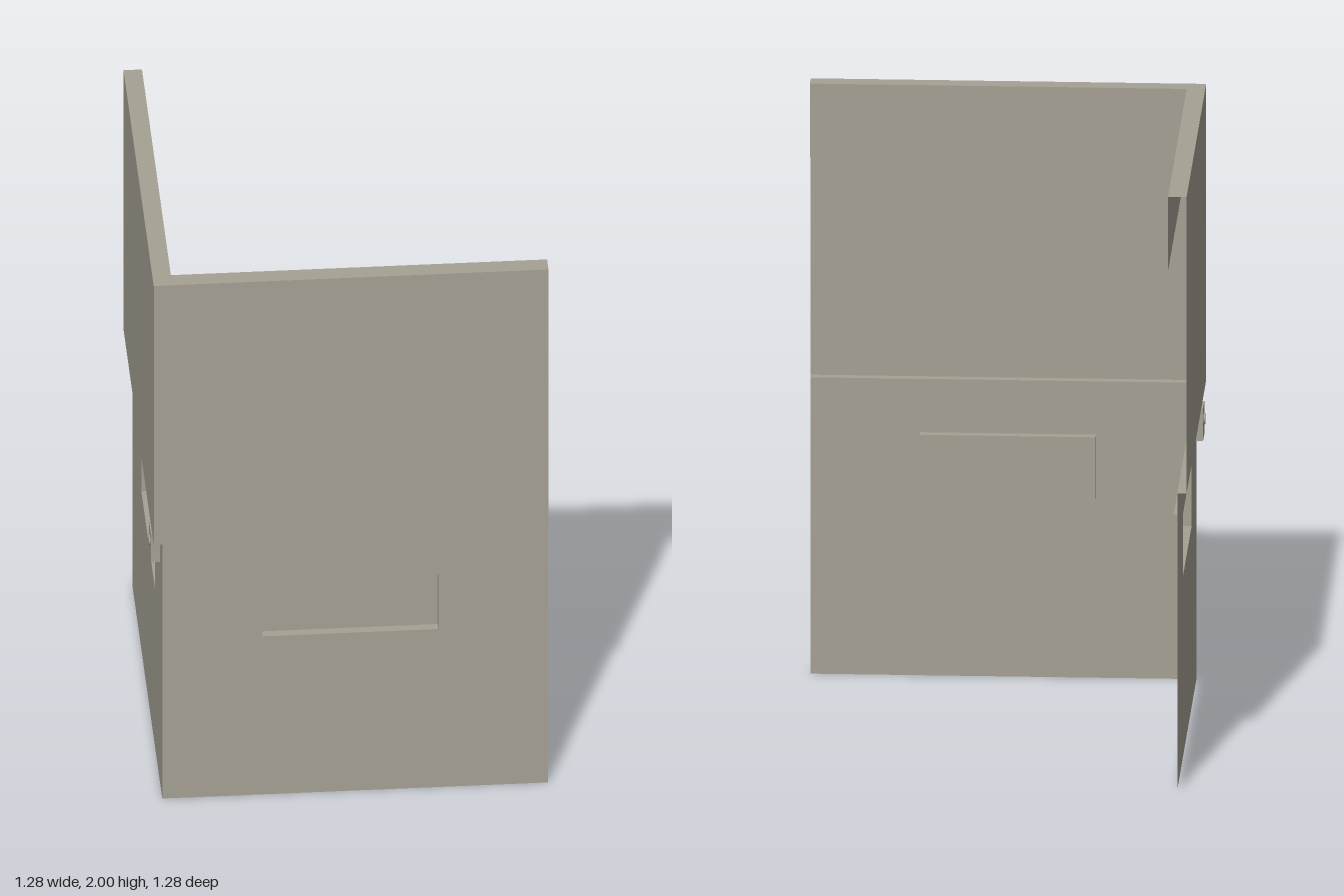
import * as THREE from 'three';

const END = 0.64;     // free ends of both walls
const LOWER = 0.61;   // offset of the lower panels
const FLOOR = 0.58;   // offset of the pocket floors

// Sheet that follows a profile of [offset, y] points along the front wall,
// round the corner and along the side wall.
function sweepAroundCorner(profile) {
  const pos = [];
  const quad = (a, b, c, d) => pos.push(...a, ...b, ...c, ...a, ...c, ...d);
  const path = (d, y) => [[END, y, d], [-d, y, d], [-d, y, -END]];
  for (let i = 0; i < profile.length - 1; i++) {
    const lo = path(...profile[i]);
    const hi = path(...profile[i + 1]);
    for (let j = 0; j < 2; j++) quad(lo[j + 1], lo[j], hi[j], hi[j + 1]);
  }
  const g = new THREE.BufferGeometry();
  g.setAttribute('position', new THREE.Float32BufferAttribute(pos, 3));
  g.computeVertexNormals();
  return g;
}

export function createModel() {
  const model = new THREE.Group();
  model.name = 'cornerWall';
  const paint = new THREE.MeshStandardMaterial({ color: 0xa6a194, side: THREE.DoubleSide });
  paint.name = 'warm grey';

  const add = (parent, name, geometry, x = 0, y = 0, z = 0) => {
    const m = new THREE.Mesh(geometry, paint);
    m.name = name;
    m.position.set(x, y, z);
    parent.add(m);
    return m;
  };

  // Upper cladding: underside ledge, outer face, top cap, hanging inner lip
  add(model, 'upperCladding', sweepAroundCorner([
    [LOWER, 1], [END, 1], [END, 2], [FLOOR, 2], [FLOOR, 1.75],
  ]));

  // Lower panel with a recessed pocket, facing +z
  const lowerWall = (name, x0, x1, cx) => {
    const wall = new THREE.Group();
    wall.name = name;
    const w = 0.57, y0 = 0.61, y1 = 0.82, depth = LOWER - FLOOR;
    const h = y1 - y0, cy = (y0 + y1) / 2, mid = (LOWER + FLOOR) / 2;

    const outline = new THREE.Shape([[x0, 0], [x1, 0], [x1, 1], [x0, 1]]
      .map(p => new THREE.Vector2(...p)));
    outline.holes.push(new THREE.Path([
      [cx - w / 2, y0], [cx - w / 2, y1], [cx + w / 2, y1], [cx + w / 2, y0],
    ].map(p => new THREE.Vector2(...p))));
    add(wall, 'lowerPanel', new THREE.ShapeGeometry(outline), 0, 0, LOWER);

    add(wall, 'pocketBack', new THREE.PlaneGeometry(w, h), cx, cy, FLOOR);
    for (const s of [-1, 1]) {
      add(wall, 'pocketSide', new THREE.PlaneGeometry(depth, h), cx + s * w / 2, cy, mid)
        .rotation.y = -s * Math.PI / 2;
      add(wall, 'pocketEdge', new THREE.PlaneGeometry(w, depth), cx, cy + s * h / 2, mid)
        .rotation.x = s * Math.PI / 2;
    }
    model.add(wall);
    return wall;
  };
  lowerWall('frontWall', -LOWER, END, 0);
  lowerWall('sideWall', -END, LOWER, 0.01).rotation.y = -Math.PI / 2;

  // Small control box with a round button on the side wall
  const control = new THREE.Group();
  control.name = 'controlBox';
  add(control, 'box', new THREE.BoxGeometry(0.03, 0.11, 0.08), -0.625, 0.91, 0.48);
  add(control, 'button', new THREE.CylinderGeometry(0.018, 0.018, 0.006, 16), -0.642, 0.918, 0.48)
    .rotation.z = Math.PI / 2;
  model.add(control);

  return model;
}
